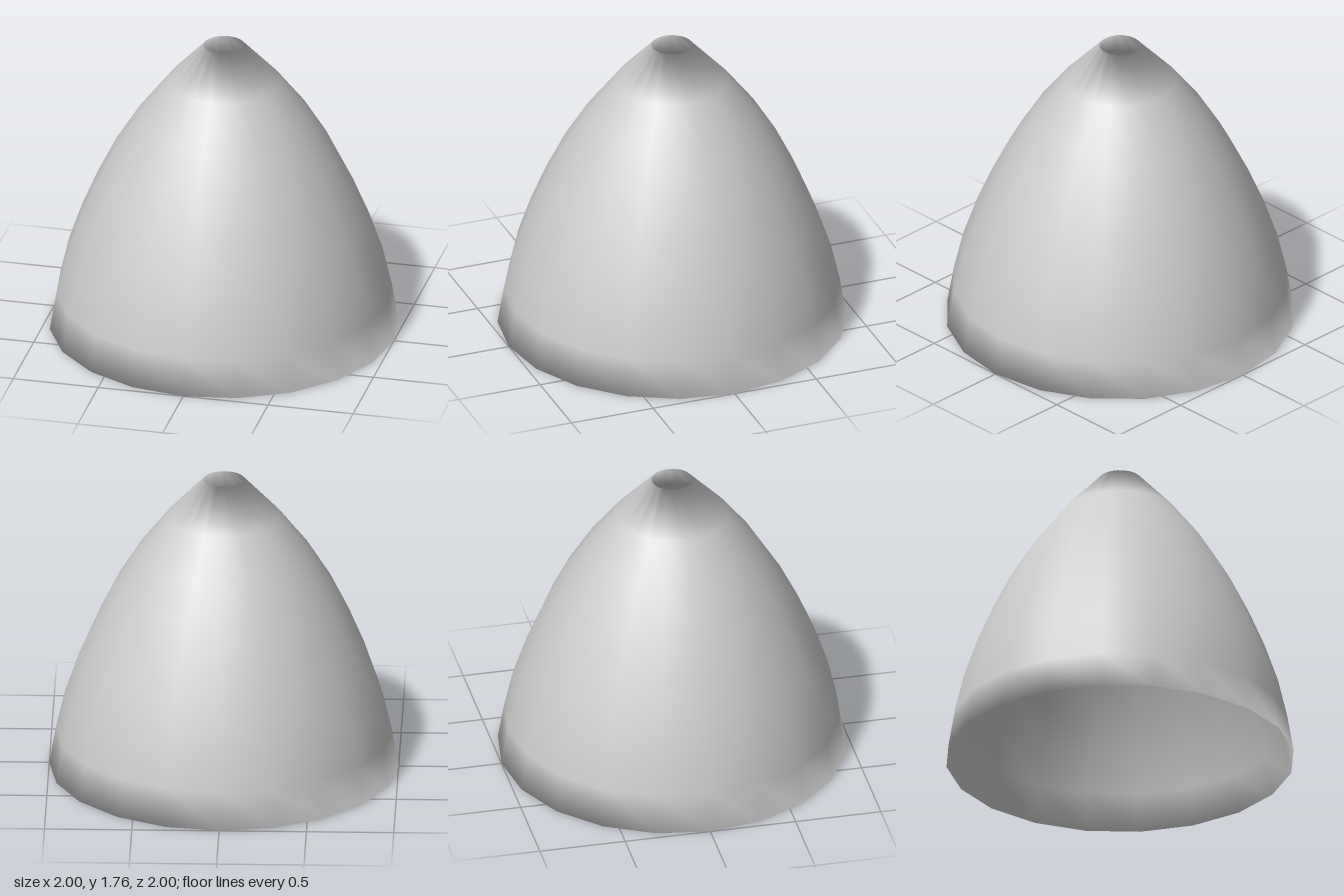
import * as THREE from 'three';
import { mergeVertices } from 'three/addons/utils/BufferGeometryUtils.js';

export function createModel() {
  const group = new THREE.Group();
  const sides = 20;
  const thickness = 0.004;

  // Outer profile from bottom rim to top opening: [radius, height]
  const outer = [
    [1, 0], [0.963, 0.22], [0.91, 0.446], [0.833, 0.67], [0.74, 0.89],
    [0.632, 1.107], [0.495, 1.327], [0.325, 1.545], [0.118, 1.765],
  ].map(([r, y]) => new THREE.Vector2(r, y));

  // Inner skin runs down from the opening and shares both rims with the outer skin
  const inner = outer.map((p, i) => {
    const isRim = i === 0 || i === outer.length - 1;
    return new THREE.Vector2(p.x - (isRim ? 0 : thickness), p.y);
  }).reverse();

  const lathe = new THREE.LatheGeometry([...inner, ...outer.slice(1)], sides);

  // Weld seam and rims so the shading rolls softly over the thin edges
  lathe.deleteAttribute('normal');
  lathe.deleteAttribute('uv');
  const geometry = mergeVertices(lathe, 1e-4);
  geometry.computeVertexNormals();

  const shade = new THREE.Mesh(geometry, new THREE.MeshStandardMaterial({ color: 0xcccccc }));
  shade.name = 'domeShade';
  group.add(shade);
  return group;
}
